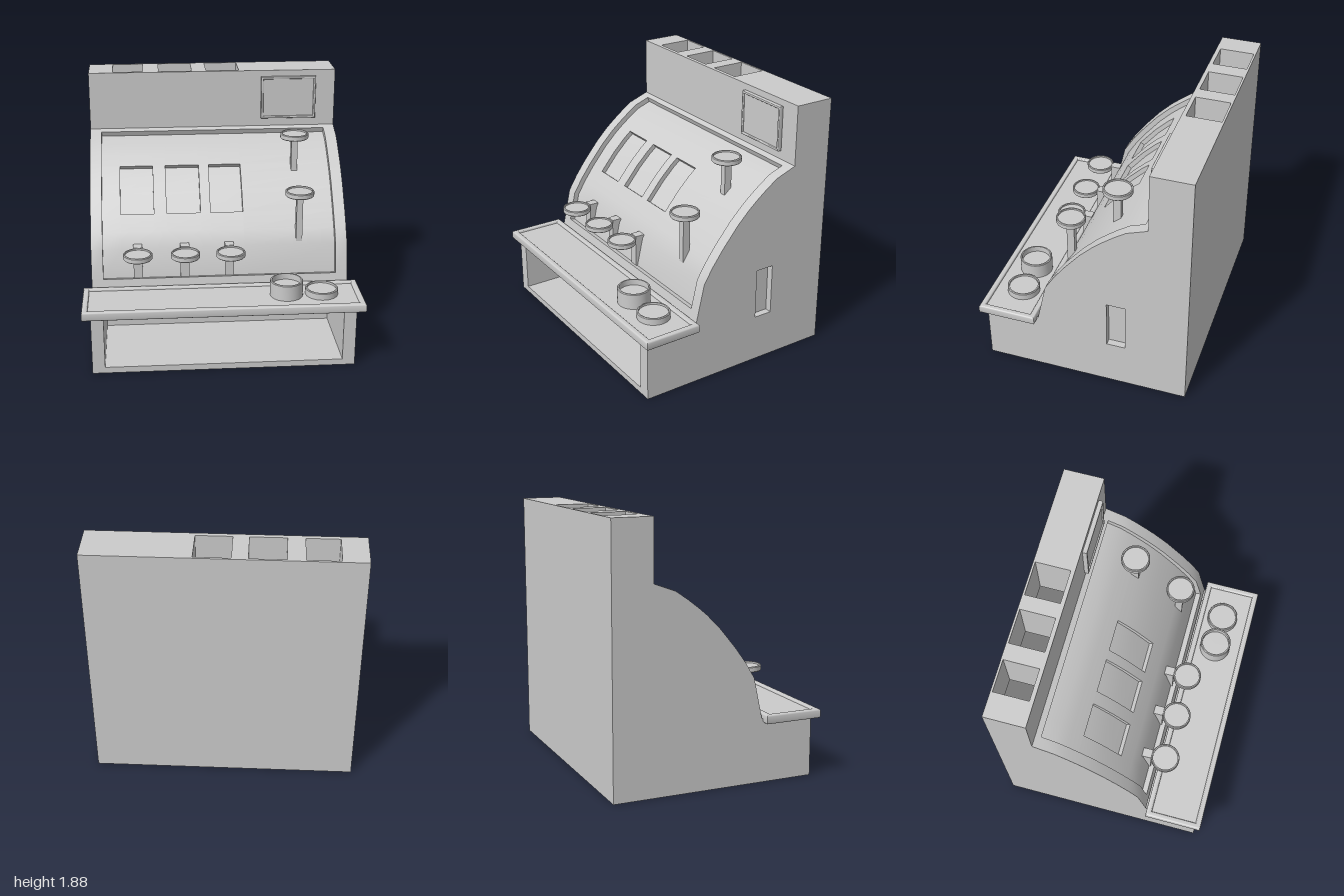
import * as THREE from 'three';
import { toCreasedNormals } from 'three/addons/utils/BufferGeometryUtils.js';

const material = new THREE.MeshStandardMaterial({ color: 0xcccccc, side: THREE.DoubleSide });
const W = 0.94, FRONT = 0.73, BACK = -0.77, TOP = 1.885, UPPER = -0.475, SHELF = 0.46;

// Curved front as [z, y], bottom to top
const CURVE = [[0.335, SHELF], [0.27, 0.755], [0.2, 0.87], [0.12, 0.98], [0, 1.125],
  [-0.095, 1.22], [-0.16, 1.275], [-0.24, 1.337], [-0.325, 1.395], [UPPER, 1.45]];
const WINDOWS = [[-0.72, -0.475], [-0.38, -0.13], [-0.055, 0.185]];
const SHAFTS = [[-0.76, -0.53], [-0.41, -0.16], [-0.05, 0.2]];

function add(group, name, geometry, x = 0, y = 0, z = 0) {
  const mesh = new THREE.Mesh(geometry, material);
  mesh.name = name;
  mesh.position.set(x, y, z);
  group.add(mesh);
  return mesh;
}

const rect = (x0, y0, x1, y1) => [[x0, y0], [x1, y0], [x1, y1], [x0, y1]].map(p => new THREE.Vector2(...p));

// Flat wall with rectangular openings
function wall(points, holes = []) {
  const shape = new THREE.Shape(points);
  for (const h of holes) shape.holes.push(new THREE.Path(h));
  return new THREE.ShapeGeometry(shape);
}

// Box without the listed sides (order: +x -x +y -y +z -z)
function pocket(w, h, d, open) {
  const g = new THREE.BoxGeometry(w, h, d);
  const index = Array.from(g.index.array);
  g.setIndex(index.filter((_, i) => !open.includes(Math.floor(i / 6))));
  g.clearGroups();
  return g;
}

// Point on the curved front at height parameter y, sunk by depth d along the normal
function curvePoint(x, y, d) {
  const normal = i => {
    const a = CURVE[Math.max(i - 1, 0)], b = CURVE[Math.min(i + 1, CURVE.length - 1)];
    return new THREE.Vector2(b[1] - a[1], a[0] - b[0]).normalize();
  };
  let i = 0;
  while (i < CURVE.length - 2 && y > CURVE[i + 1][1]) i++;
  const [a, b] = [CURVE[i], CURVE[i + 1]];
  const t = (y - a[1]) / (b[1] - a[1]);
  const n = normal(i).lerp(normal(i + 1), t).normalize();
  return [x, y - n.y * d, a[0] + (b[0] - a[0]) * t - n.x * d];
}

// Curved front: stepped relief with a sunken panel and three deeper windows
function curvedFront() {
  const xs = [-W, -0.855, ...WINDOWS.flat(), 0.855, W];
  const ys = [...CURVE.map(p => p[1]), 0.54, 1.435, 1.27].sort((a, b) => a - b);
  const depth = (i, j) => {
    if (i < 0 || j < 0 || i > xs.length - 2 || j > ys.length - 2) return 0;
    const x = (xs[i] + xs[i + 1]) / 2, y = (ys[j] + ys[j + 1]) / 2;
    if (Math.abs(x) > 0.855 || y < 0.54 || y > 1.435) return 0;
    return y > 0.98 && y < 1.27 && WINDOWS.some(w => x > w[0] && x < w[1]) ? 0.075 : 0.04;
  };
  const pos = [];
  const quad = (a, b, c, d) => pos.push(...a, ...b, ...c, ...a, ...c, ...d);
  for (let i = 0; i < xs.length - 1; i++) {
    for (let j = 0; j < ys.length - 1; j++) {
      const d = depth(i, j), [x0, x1, y0, y1] = [xs[i], xs[i + 1], ys[j], ys[j + 1]];
      quad(curvePoint(x0, y0, d), curvePoint(x1, y0, d), curvePoint(x1, y1, d), curvePoint(x0, y1, d));
      const l = depth(i - 1, j), b = depth(i, j - 1);
      if (l !== d) quad(curvePoint(x0, y0, l), curvePoint(x0, y0, d), curvePoint(x0, y1, d), curvePoint(x0, y1, l));
      if (b !== d) quad(curvePoint(x0, y0, b), curvePoint(x1, y0, b), curvePoint(x1, y0, d), curvePoint(x0, y0, d));
    }
  }
  const g = new THREE.BufferGeometry();
  g.setAttribute('position', new THREE.Float32BufferAttribute(pos, 3));
  return toCreasedNormals(g, 0.45);
}

// Bevelled rectangular frame lying in xy, with its back at z = 0
function frame(w, h, depth, border, bevel) {
  const shape = new THREE.Shape(rect(bevel - w / 2, bevel - h / 2, w / 2 - bevel, h / 2 - bevel));
  const a = w / 2 - border + bevel, b = h / 2 - border + bevel;
  shape.holes.push(new THREE.Path(rect(-a, -b, a, b)));
  const g = new THREE.ExtrudeGeometry(shape, {
    depth: depth - 2 * bevel, bevelSize: bevel, bevelThickness: bevel, bevelSegments: 3,
  });
  return toCreasedNormals(g.translate(0, 0, bevel), 0.6);
}

// Round dish with a rim around a sunken top, base at y = 0
function dish(r, h, rim, sink) {
  const e = 0.005;
  const points = [[0, 0], [r - e, 0], [r, e], [r, h - e], [r - e, h], [r - rim, h], [r - rim, h - sink], [0, h - sink]];
  return toCreasedNormals(new THREE.LatheGeometry(points.map(p => new THREE.Vector2(...p)), 40), 0.6);
}

function buildBody() {
  const body = new THREE.Group();
  body.name = 'body';

  // Side walls, the left one with a shallow slot
  const outline = [[FRONT, 0], [FRONT, SHELF], ...CURVE, [UPPER, TOP], [BACK, TOP], [BACK, 0]]
    .map(p => new THREE.Vector2(...p));
  const slot = rect(-0.32, 0.35, -0.183, 0.725);
  add(body, 'leftWall', wall(outline, [slot]).rotateY(-Math.PI / 2), W);
  add(body, 'rightWall', wall(outline).rotateY(-Math.PI / 2), -W);
  add(body, 'sideSlot', pocket(0.05, 0.375, 0.137, [0]), W - 0.025, 0.5375, -0.2515);

  // Lower front with the drawer opening
  add(body, 'lowerFront', wall(rect(-W, 0, W, SHELF), [rect(-0.85, 0.045, 0.85, 0.43)]), 0, 0, FRONT);
  add(body, 'drawerCavity', pocket(1.7, 0.385, 0.65, [4]), 0, 0.2375, FRONT - 0.325);
  add(body, 'curvedFront', curvedFront());

  // Upper housing, open underneath
  add(body, 'upperFront', wall(rect(-W, 1.45, W, TOP)), 0, 0, UPPER);
  add(body, 'backWall', wall(rect(-W, 0, W, TOP)).rotateY(Math.PI), 0, 0, BACK);
  const openings = SHAFTS.map(([a, b]) => rect(a, 0.505, b, 0.755));
  add(body, 'topWall', wall(rect(-W, -UPPER, W, -BACK), openings).rotateX(-Math.PI / 2), 0, TOP);
  for (const [a, b] of SHAFTS) {
    add(body, 'topShaft', pocket(b - a, 0.4, 0.25, [2, 3]), (a + b) / 2, TOP - 0.2, -0.63);
  }
  return body;
}

function buildKey(name, x, capY, capZ, stemWidth, stemDepth, stemZ, stemBottom, stemTop) {
  const key = new THREE.Group();
  key.name = name;
  add(key, 'keyCap', dish(0.105, 0.04, 0.013, 0.012), x, capY, capZ);
  add(key, 'keyStem', new THREE.BoxGeometry(stemWidth, stemTop - stemBottom, stemDepth),
    x, (stemTop + stemBottom) / 2, stemZ);
  return key;
}

export function createModel() {
  const model = new THREE.Group();
  model.name = 'cashRegister';
  model.add(buildBody());

  // Shelf tray with raised rim
  const shelf = new THREE.Group();
  shelf.name = 'shelf';
  add(shelf, 'shelfRim', frame(2, 0.425, 0.065, 0.042, 0.012).rotateX(-Math.PI / 2), 0, 0.43, 0.5575);
  add(shelf, 'shelfFloor', new THREE.BoxGeometry(1.93, 0.045, 0.355), 0, 0.4575, 0.5575);
  model.add(shelf);

  // Coin dishes
  add(model, 'tallDish', dish(0.118, 0.122, 0.014, 0.045), 0.46, 0.475, 0.535);
  add(model, 'shortDish', dish(0.118, 0.055, 0.014, 0.015), 0.715, 0.475, 0.535);

  // Display plate on the upper housing
  const display = new THREE.Group();
  display.name = 'display';
  add(display, 'displayFrame', frame(0.42, 0.325, 0.035, 0.018, 0.006), 0.58, 1.677, UPPER - 0.002);
  add(display, 'displayFace', new THREE.BoxGeometry(0.4, 0.305, 0.024), 0.58, 1.677, UPPER + 0.01);
  model.add(display);

  // Three lower keys and two tall keys
  for (const x of [-0.6, -0.257, 0.07]) {
    model.add(buildKey('lowerKey', x, 0.73, 0.392, 0.066, 0.07, 0.255, 0.45, 0.772));
  }
  for (const [y, z] of [[1.11, 0.193], [1.443, -0.155]]) {
    model.add(buildKey('tallKey', 0.59, y, z, 0.046, 0.056, z, y - 0.36, y + 0.01));
  }
  return model;
}
